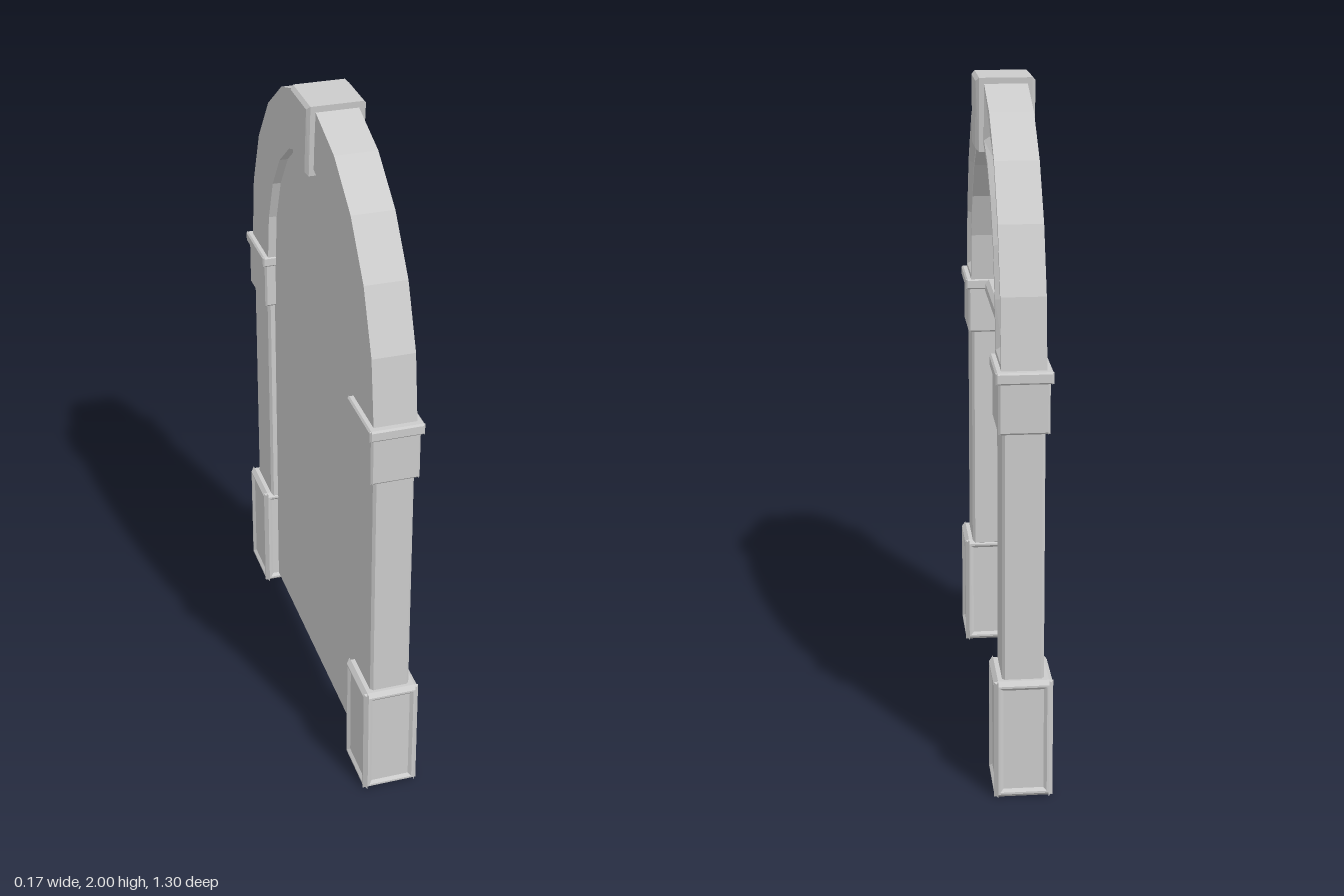
import * as THREE from 'three';

const material = new THREE.MeshStandardMaterial({ color: 0xcccccc, flatShading: true });
const SPRING = 1.28; // height where the arch starts

// Skin through matching outlines [{ pts, z }], ordered back to front; the front is capped
function loft(loops, capBack = true) {
  const pos = [], index = [], n = loops[0].pts.length;
  loops.forEach(({ pts, z }) => pts.forEach(p => pos.push(p.x, p.y, z)));
  for (let k = 0; k < loops.length - 1; k++) {
    for (let i = 0; i < n; i++) {
      const j = (i + 1) % n, a = k * n + i, b = k * n + j;
      index.push(a, b, b + n, a, b + n, a + n);
    }
  }
  const cap = (k, flip) => {
    for (const [a, b, c] of THREE.ShapeUtils.triangulateShape(loops[k].pts, [])) {
      const o = k * n;
      index.push(o + a, o + (flip ? c : b), o + (flip ? b : c));
    }
  };
  cap(loops.length - 1, false);
  if (capBack) cap(0, true);
  const g = new THREE.BufferGeometry();
  g.setAttribute('position', new THREE.Float32BufferAttribute(pos, 3));
  g.setIndex(index);
  const flat = g.toNonIndexed();
  flat.computeVertexNormals();
  return flat;
}

const rect = (w, h) => [[-1, -1], [1, -1], [1, 1], [-1, 1]]
  .map(([x, y]) => new THREE.Vector2(x * w / 2, y * h / 2));

function add(parent, name, geometry, x = 0, y = 0, z = 0) {
  const m = new THREE.Mesh(geometry, material);
  m.name = name;
  m.position.set(x, y, z);
  parent.add(m);
  return m;
}

// Block with chamfered edges and, if asked, a sunken field on each side
function block(parent, name, w, h, d, x, y, z, chamfer, sunk = 0) {
  const g = new THREE.Group();
  g.name = name;
  g.position.set(x, y + h / 2, z);
  parent.add(g);
  add(g, name + 'Core', new THREE.BoxGeometry(w - 2 * chamfer, h, d - 2 * chamfer));
  for (let i = 0; i < 4; i++) {
    const [fw, fd] = i % 2 ? [d, w / 2] : [w, d / 2];
    const c = 2 * chamfer;
    const loops = [
      { pts: rect(fw, h), z: fd - chamfer },
      { pts: rect(fw - c, h - c), z: fd },
    ];
    if (sunk) loops.push(
      { pts: rect(fw - c - 0.012, h - c - 0.012), z: fd },
      { pts: rect(fw - c - 0.03, h - c - 0.03), z: fd - sunk });
    add(g, name + 'Side', loft(loops, false)).rotation.y = i * Math.PI / 2;
  }
}

// Outline of one half of the arch band, shrunk by an inset
function archOutline(inset, side) {
  const steps = [0, 1, 2, 3, 4, 5];
  const curve = (a, b, keyHalf) => steps.map(k => {
    const t = k * Math.PI / 11;
    return new THREE.Vector2(
      Math.max(a * Math.cos(t), keyHalf + inset),
      SPRING + Math.max(b * Math.sin(t), inset));
  });
  const pts = [
    ...curve(0.63 - inset, 0.71 - inset, 0.08),
    ...curve(0.445 + inset, 0.53 + inset, 0.064).reverse(),
  ];
  if (side < 0) {
    pts.forEach(p => { p.x *= -1; });
    pts.reverse();
  }
  return pts;
}

export function createModel() {
  const root = new THREE.Group();
  root.name = 'archedDoorway';
  const door = new THREE.Group();
  door.name = 'doorway';
  door.rotation.y = Math.PI / 2; // the broad detailed face looks along +x
  root.add(door);

  for (const s of [-1, 1]) {
    // Plinth, pillar and capital
    block(door, 'plinth', 0.19, 0.365, 0.17, s * 0.557, 0, 0, 0.012, 0.008);
    block(door, 'pillar', 0.165, 0.76, 0.12, s * 0.5475, 0.35, 0, 0.008);
    block(door, 'capital', 0.19, 0.16, 0.144, s * 0.546, 1.1, 0, 0.006);
    block(door, 'capitalLip', 0.208, 0.034, 0.16, s * 0.548, 1.246, 0, 0.005);

    // Half of the arch, with a sunken face inside a raised border
    add(door, 'archHalf', loft([
      { pts: archOutline(0, s), z: -0.063 },
      { pts: archOutline(0, s), z: 0.063 },
      { pts: archOutline(0.014, s), z: 0.063 },
      { pts: archOutline(0.028, s), z: 0.046 },
    ]));
  }

  // Tapered keystone with chamfered faces
  const keyOutline = i => [[-0.066 + i, 1.783 + i], [0.066 - i, 1.783 + i], [0.087 - i, 2 - i], [-0.087 + i, 2 - i]]
    .map(([x, y]) => new THREE.Vector2(x, y));
  add(door, 'keystone', loft([
    { pts: keyOutline(0.01), z: -0.087 },
    { pts: keyOutline(0), z: -0.077 },
    { pts: keyOutline(0), z: 0.077 },
    { pts: keyOutline(0.01), z: 0.087 },
  ]));

  // Door leaf and the window panel above it
  add(door, 'doorPanel', new THREE.BoxGeometry(0.95, 1.23, 0.005), 0, 0.025 + 0.615, -0.035);
  const pane = new THREE.Shape();
  pane.absellipse(0, SPRING - 0.025, 0.5, 0.6, 0, Math.PI, false);
  add(door, 'fanlightPanel',
    new THREE.ExtrudeGeometry(pane, { depth: 0.005, bevelEnabled: false, curveSegments: 16 }), 0, 0, -0.0375);

  // Rail across the door head and upright bar in the window
  block(door, 'transomRail', 0.93, 0.05, 0.055, 0, 1.228, -0.01, 0.012);
  block(door, 'windowBar', 0.03, 0.54, 0.03, 0, 1.27, -0.022, 0.008);

  return root;
}
